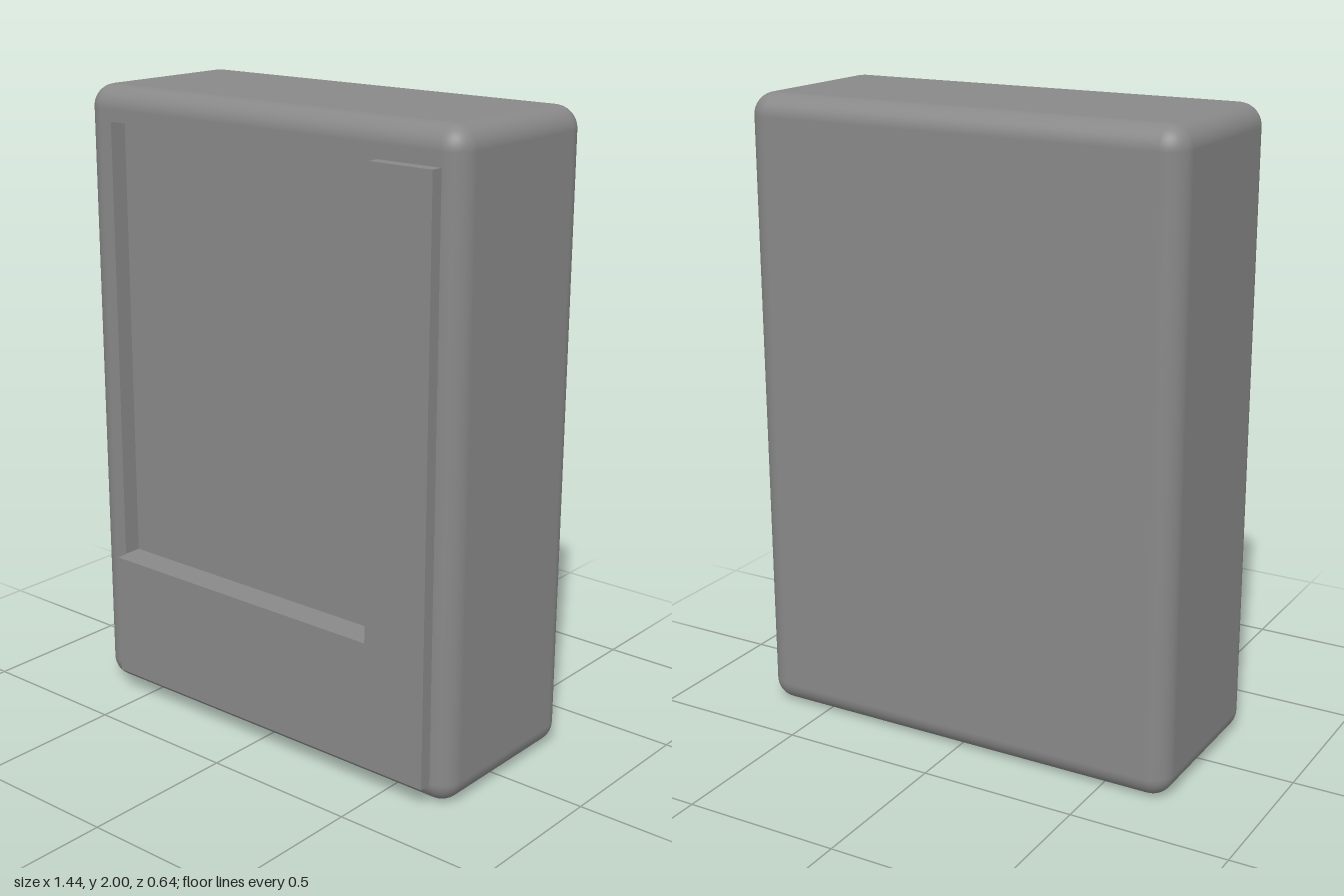
import * as THREE from 'three';
import { RoundedBoxGeometry } from 'three/addons/geometries/RoundedBoxGeometry.js';

const W = 1.436, H = 2, BACK = -0.322, FRONT = 0.283, R = 0.07;
const WINDOW = { x0: -0.605, x1: 0.437, y0: 0.47, y1: 1.892, floor: 0.225 };
const PANEL = { x0: -0.602, x1: 0.654, y0: 0.066, y1: 1.888, front: 0.322 };

const rectPoints = (x0, y0, x1, y1) =>
  [[x0, y0], [x1, y0], [x1, y1], [x0, y1]].map(p => new THREE.Vector2(...p));

// Extrude an outline from z0 to z1
function slab(shape, z0, z1) {
  const g = new THREE.ExtrudeGeometry(shape, { depth: z1 - z0, bevelEnabled: false });
  return g.translate(0, 0, z0);
}

// Rounded casing whose flat front face is left open for the window frame
function casingGeometry() {
  const g = new RoundedBoxGeometry(W, H, FRONT - BACK, 6, R);
  g.translate(0, H / 2, (FRONT + BACK) / 2);
  const pos = g.attributes.position, keep = [];
  for (let i = 0; i < pos.count; i += 3) {
    const flatFront = [0, 1, 2].every(k => pos.getZ(i + k) > FRONT - 1e-5);
    if (!flatFront) keep.push(i, i + 1, i + 2);
  }
  g.clearGroups();
  g.setIndex(keep);
  return g;
}

export function createModel() {
  const model = new THREE.Group();
  model.name = 'cabinet';
  const material = new THREE.MeshStandardMaterial({ color: 0x888888 });
  const add = (name, geometry) => {
    const mesh = new THREE.Mesh(geometry, material);
    mesh.name = name;
    model.add(mesh);
    return mesh;
  };

  add('casing', casingGeometry());

  // Flat front with the rectangular recess cut through it
  const w = WINDOW;
  const face = new THREE.Shape(rectPoints(-W / 2 + R, R, W / 2 - R, H - R));
  face.holes.push(new THREE.Path(rectPoints(w.x0, w.y0, w.x1, w.y1).reverse()));
  add('frontFrame', slab(face, w.floor, FRONT));

  // Floor of the recess
  const floor = add('recessFloor', new THREE.PlaneGeometry(w.x1 - w.x0, w.y1 - w.y0));
  floor.position.set((w.x0 + w.x1) / 2, (w.y0 + w.y1) / 2, w.floor);

  // Raised L-shaped panel below and beside the recess
  const p = PANEL;
  const outline = new THREE.Shape([
    [p.x0, p.y0], [p.x1, p.y0], [p.x1, p.y1], [w.x1, p.y1], [w.x1, w.y0], [p.x0, w.y0],
  ].map(c => new THREE.Vector2(...c)));
  add('frontPanel', slab(outline, FRONT - 0.003, p.front));

  return model;
}
